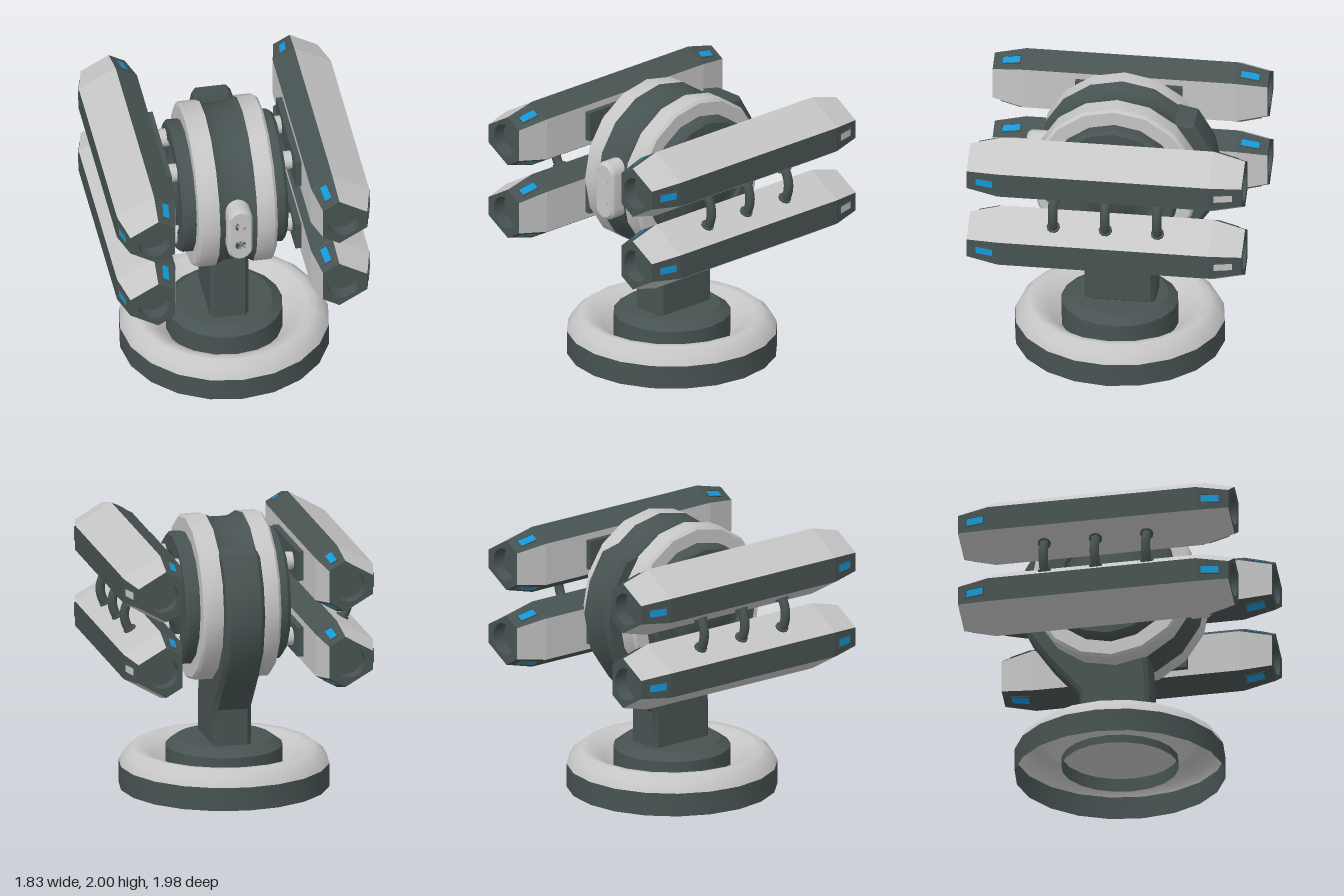
import * as THREE from 'three';
import { toCreasedNormals } from 'three/addons/utils/BufferGeometryUtils.js';

const mat = (name, color) => new THREE.MeshStandardMaterial({ name, color, side: THREE.DoubleSide });
const V2 = (a) => a.map(([x, y]) => new THREE.Vector2(x, y));

export function createModel() {
  const dark = mat('dark slate', 0x475352);
  const light = mat('light grey', 0xc6c6c6);
  const blue = mat('blue glow', 0x1497d8);

  const root = new THREE.Group();
  root.name = 'turret';
  const add = (parent, name, geo, material, x = 0, y = 0, z = 0) => {
    const m = new THREE.Mesh(geo, material);
    m.name = name;
    m.position.set(x, y, z);
    parent.add(m);
    return m;
  };
  const lathe = (pts, seg, crease = 0.6) => toCreasedNormals(new THREE.LatheGeometry(V2(pts), seg), crease);

  // Base: hollow dark skirt, light dished collar, dark pedestal
  add(root, 'baseSkirt', lathe([[0.755, 0], [0.755, 0.17]], 20), dark);
  add(root, 'baseCollar', lathe([[0.755, 0.17], [0.725, 0.23], [0.655, 0.285], [0.6, 0.28], [0.5, 0.21], [0.42, 0.12]], 20, 1), light);
  add(root, 'pedestal', lathe([[0.42, 0.06], [0.42, 0.3], [0.345, 0.355], [0, 0.355]], 20), dark);
  add(root, 'pedestalUnderside', new THREE.CircleGeometry(0.42, 20).rotateX(Math.PI / 2), light, 0, 0.16, 0);

  // Support arm: column that sweeps up around the back of the drum
  const arm = new THREE.Shape(V2([
    [0.24, 0.33], [0.24, 0.62], [0.22, 0.9], [0.05, 0.95], [-0.3, 1.0], [-0.48, 1.2], [-0.53, 1.4], [-0.48, 1.6],
    [-0.38, 1.75], [-0.41, 1.86], [-0.55, 1.83], [-0.67, 1.63], [-0.72, 1.4], [-0.66, 1.12], [-0.5, 0.89],
    [-0.27, 0.62], [-0.27, 0.33]]));
  const armGeo = new THREE.ExtrudeGeometry(arm, {
    depth: 0.22, bevelEnabled: true, bevelSegments: 1, bevelSize: 0.03, bevelThickness: 0.03, bevelOffset: -0.03 });
  armGeo.translate(0, 0, -0.11).rotateY(-Math.PI / 2);
  add(root, 'supportArm', toCreasedNormals(armGeo, 0.5), dark);

  // Drum: axis along x, grooved dark band, light rims and stepped side discs
  const drum = new THREE.Group();
  drum.name = 'drum';
  drum.position.y = 1.4;
  root.add(drum);
  const turned = (name, pts, material) => add(drum, name, lathe(pts, 16).rotateZ(-Math.PI / 2), material);
  turned('drumBand', [[0.6, -0.135], [0.568, -0.075], [0.565, 0], [0.568, 0.075], [0.6, 0.135]], dark);
  for (const s of [-1, 1]) {
    const side = (name, pts, material) =>
      turned(name, (s > 0 ? pts : pts.slice().reverse()).map(([r, h]) => [r, h * s]), material);
    side('drumRim', [[0.6, 0.135], [0.6, 0.265], [0.58, 0.285], [0.47, 0.285]], light);
    side('sideDisc', [[0.48, 0.28], [0.48, 0.36], [0.455, 0.385], [0.34, 0.385], [0.32, 0.365],
      [0.24, 0.365], [0.2, 0.39], [0.1, 0.42], [0, 0.42]], dark);
  }

  // Sensor: light capsule frame with two dark lenses
  const stadium = (r, h, Type) => {
    const s = new Type();
    s.absarc(0, h, r, 0, Math.PI);
    s.absarc(0, -h, r, Math.PI, Math.PI * 2);
    s.closePath();
    return s;
  };
  const sensor = new THREE.Group();
  sensor.name = 'sensor';
  sensor.position.set(0, 1.4, 0);
  root.add(sensor);
  const frame = stadium(0.09, 0.13, THREE.Shape);
  frame.holes.push(stadium(0.056, 0.12, THREE.Path));
  add(sensor, 'sensorFrame', toCreasedNormals(new THREE.ExtrudeGeometry(frame, {
    depth: 0.12, curveSegments: 6, bevelSegments: 1, bevelSize: 0.02, bevelThickness: 0.025, bevelOffset: -0.02 }), 0.6),
  light, 0, 0, 0.52);
  add(sensor, 'sensorPanel', new THREE.ShapeGeometry(stadium(0.08, 0.125, THREE.Shape), 6), dark, 0, 0, 0.625);
  for (const y of [-0.083, 0.083])
    add(sensor, 'lens', new THREE.CylinderGeometry(0.04, 0.05, 0.05, 12).rotateX(Math.PI / 2), dark, 0, y, 0.64);

  // Barrel cross-section: six corners, narrow dark and wide light faces alternating
  const R = 0.247, A = 0.373, END = 0.76;
  const corners = [];
  for (let k = 0; k < 3; k++)
    for (const s of [-1, 1]) corners.push((k * Math.PI * 2) / 3 + s * A);
  const rings = [[-0.99, END], [-0.76, 1], [0.76, 1], [0.99, END]];
  const strips = (parity) => {
    const pos = [];
    const pt = (i, [z, f]) => [R * f * Math.cos(corners[i % 6]), R * f * Math.sin(corners[i % 6]), z];
    for (let i = parity; i < 6; i += 2)
      for (let j = 0; j < 3; j++) {
        const a = pt(i, rings[j]), b = pt(i + 1, rings[j]), c = pt(i + 1, rings[j + 1]), d = pt(i, rings[j + 1]);
        pos.push(...a, ...b, ...c, ...a, ...c, ...d);
      }
    const g = new THREE.BufferGeometry();
    g.setAttribute('position', new THREE.Float32BufferAttribute(pos, 3));
    g.computeVertexNormals();
    return g;
  };
  const darkStrips = strips(0), lightStrips = strips(1);
  const muzzle = new THREE.Shape(V2(corners.map((a) => [R * END * Math.cos(a), R * END * Math.sin(a)])));
  muzzle.holes.push(new THREE.Path().absarc(0, 0, 0.118, 0, Math.PI * 2));
  const muzzleGeo = new THREE.ShapeGeometry(muzzle, 8);
  const boreGeo = new THREE.CylinderGeometry(0.118, 0.118, 0.1, 16, 1, true).rotateX(Math.PI / 2);
  const boreEnd = new THREE.CircleGeometry(0.118, 16);

  const apothem = R * Math.cos(A);
  const slope = Math.atan((apothem * (1 - END)) / 0.23);

  const makeBarrel = (x, y) => {
    const b = new THREE.Group();
    b.name = 'barrel';
    b.position.set(x, y, 0);
    if (x < 0) b.rotation.z = Math.PI;
    root.add(b);
    add(b, 'barrelDarkFaces', darkStrips, dark);
    add(b, 'barrelLightFaces', lightStrips, light);
    for (const e of [-1, 1]) {
      add(b, 'muzzle', muzzleGeo, dark, 0, 0, e * 0.99);
      add(b, 'bore', boreGeo, dark, 0, 0, e * 0.94);
      add(b, 'boreEnd', boreEnd, dark, 0, 0, e * 0.89).rotation.y = e < 0 ? Math.PI : 0;
      // Framed windows on the tapered dark faces
      for (let k = 0; k < 3; k++) {
        const pivot = new THREE.Group();
        pivot.name = 'window';
        pivot.rotation.z = (k * Math.PI * 2) / 3;
        b.add(pivot);
        const panel = new THREE.Group();
        panel.position.set(apothem * (1 - (1 - END) * 0.435), 0, e * 0.86);
        panel.rotation.y = -e * slope;
        pivot.add(panel);
        const pane = x > 0 && e < 0 && k === 0 ? light : blue;
        add(panel, 'windowPane', new THREE.BoxGeometry(0.006, 0.052, 0.13), pane);
        for (const s of [-1, 1]) {
          add(panel, 'windowFrameSide', new THREE.BoxGeometry(0.009, 0.007, 0.15), dark, 0.002, s * 0.03, 0);
          add(panel, 'windowFrameEnd', new THREE.BoxGeometry(0.009, 0.06, 0.007), dark, 0.002, 0, s * 0.07);
        }
      }
    }
  };

  // Barrels, mounts and hoses on both sides
  for (const s of [-1, 1]) {
    for (const y of [1.12, 1.68]) {
      makeBarrel(s * 0.685, y);
      add(root, 'mountPlate', new THREE.BoxGeometry(0.05, 0.215, 0.77), dark, s * 0.473, y, 0);
      for (const z of [-0.21, 0.205])
        add(root, 'mountStrut', new THREE.CylinderGeometry(0.066, 0.066, 0.12, 12).rotateZ(Math.PI / 2), light, s * 0.4, y, z);
    }
    const path = new THREE.CatmullRomCurve3(
      [[0.74, 1.53], [0.79, 1.5], [0.82, 1.4], [0.79, 1.3], [0.74, 1.27]].map(([x, y]) => new THREE.Vector3(s * x, y, 0)));
    for (const z of [-0.375, 0, 0.375]) {
      add(root, 'hose', new THREE.TubeGeometry(path, 14, 0.034, 8), dark, 0, 0, z);
      for (const t of [-1, 1]) {
        const collar = add(root, 'hoseCollar', new THREE.CylinderGeometry(0.048, 0.048, 0.035, 10), dark,
          s * 0.775, 1.4 + t * 0.115, z);
        collar.rotation.z = s * t * 0.52;
      }
    }
  }
  return root;
}
